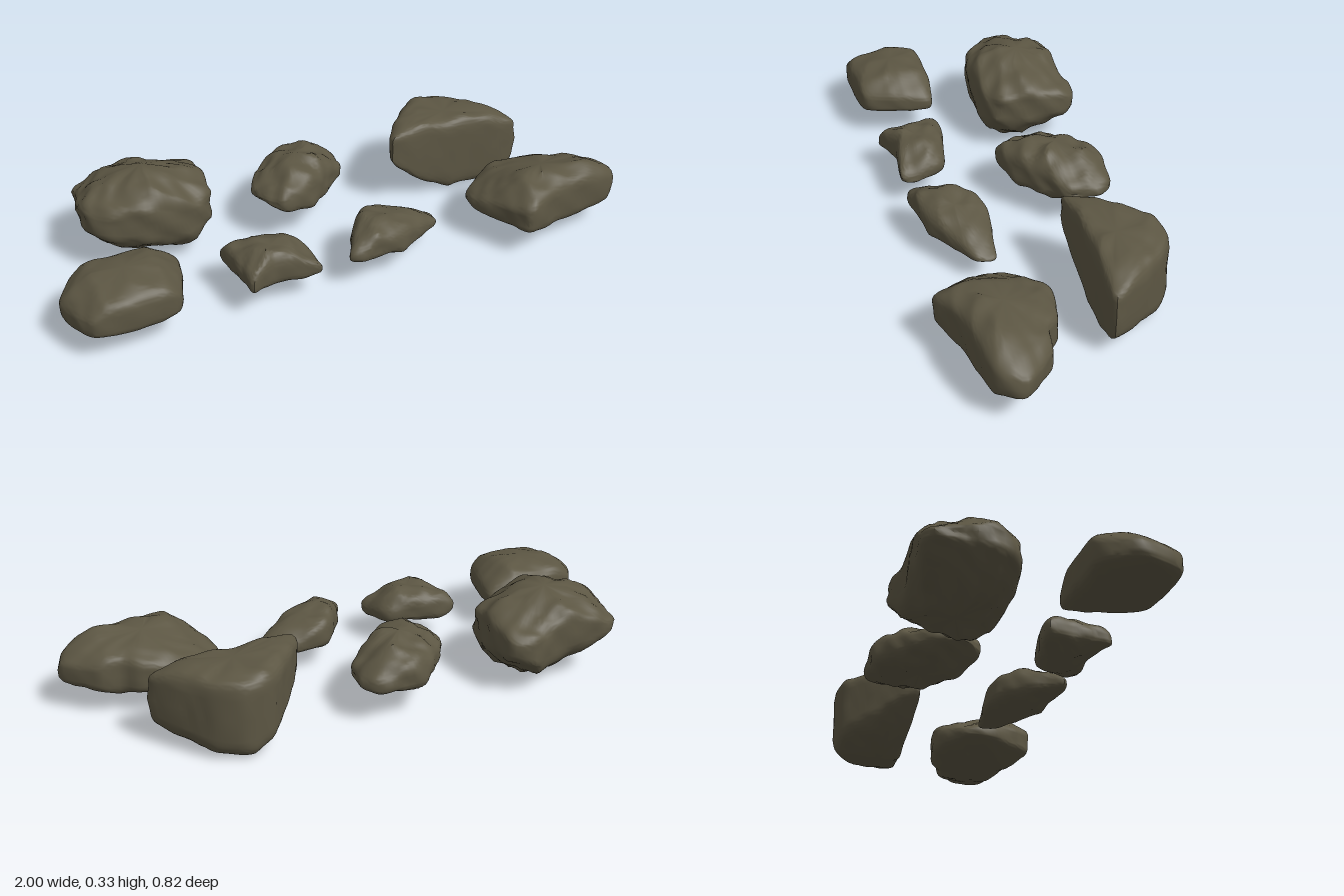
import * as THREE from 'three';
import { toCreasedNormals } from 'three/addons/utils/BufferGeometryUtils.js';

const stone = new THREE.MeshStandardMaterial({ color: 0x5c5643 });
stone.name = 'olive grey stone';

const AROUND = 80;
const RINGS = 30;

// Height at fraction f along evenly spaced values
function heightAt(values, f) {
  const k = THREE.MathUtils.clamp(f, 0, 1) * (values.length - 1);
  const i = Math.min(Math.floor(k), values.length - 2);
  return THREE.MathUtils.lerp(values[i], values[i + 1], k - i);
}

// Broken, ridged surface relief between about -1 and 1
function relief(x, y, z, seed) {
  const a = Math.sin(x * 23 + z * 17 + y * 12 + seed) * 0.4;
  const b = 0.5 - Math.abs(Math.sin(x * 19 - z * 24 + y * 27 + seed * 2.3));
  const c = Math.sin(x * 52 + Math.sin(z * 41 + seed)) * Math.sin(z * 47 + y * 60) * 0.45;
  return a + b * 0.7 + c;
}

// outline: plan corners, clockwise from above; hi, lo: top and bottom heights from -x to +x;
// round: 0 boxy to 1 oval; waist: height fraction of the widest ring;
// crest: z of the ridge and keel; slope, under: how fast top and bottom draw in away from it
function makeRock(name, { outline, hi, lo, round, waist, crest, slope, under, rough, seed }) {
  const corners = outline.map(([x, z]) => new THREE.Vector3(x, 0, z));
  const rim = new THREE.CatmullRomCurve3(corners, true, 'catmullrom', 0.3).getSpacedPoints(AROUND).slice(0, AROUND);
  const centre = rim.reduce((sum, p) => sum.add(p), new THREE.Vector3()).divideScalar(AROUND);
  const minX = Math.min(...rim.map((p) => p.x));
  const maxX = Math.max(...rim.map((p) => p.x));

  const positions = [];
  const index = [];
  for (let r = 0; r <= RINGS; r++) {
    const angle = Math.PI * (0.5 - r / RINGS);
    const s = r % RINGS === 0 ? 0 : Math.cos(angle) ** round;
    const h = Math.sign(Math.sin(angle)) * Math.abs(Math.sin(angle)) ** round;
    const t = waist + h * (h > 0 ? 1 - waist : waist);
    rim.forEach((p, i) => {
      const x = centre.x + (p.x - centre.x) * s;
      const z = centre.z + (p.z - centre.z) * s;
      const f = (x - minX) / (maxX - minX);
      const away = Math.abs(z - crest);
      const low = heightAt(lo, f) + away * under;
      const top = heightAt(hi, f) - away * slope;
      const y = low + (top - low) * t;
      const n = relief(x, y, z, seed) * rough;
      const push = n * 5 * (1 - Math.abs(h));
      positions.push(x + (p.x - centre.x) * push, Math.max(0, y + n * h), z + (p.z - centre.z) * push);

      if (r === RINGS) return;
      const a = r * AROUND + i, b = r * AROUND + (i + 1) % AROUND;
      const c = a + AROUND, d = b + AROUND;
      if (r > 0) index.push(a, b, c);
      if (r < RINGS - 1) index.push(b, d, c);
    });
  }

  const geometry = new THREE.BufferGeometry();
  geometry.setAttribute('position', new THREE.Float32BufferAttribute(positions, 3));
  geometry.setIndex(index);
  const mesh = new THREE.Mesh(toCreasedNormals(geometry, 0.8), stone);
  mesh.name = name;
  return mesh;
}

export function createModel() {
  const group = new THREE.Group();
  group.name = 'scatteredRocks';

  // Back row
  group.add(makeRock('backLeftBoulder', {
    outline: [[-0.78, -0.385], [-0.55, -0.38], [-0.44, -0.41], [-0.365, -0.36], [-0.38, -0.11], [-0.47, -0.06], [-0.64, -0.05], [-0.76, -0.08], [-0.825, -0.18]],
    hi: [0.26, 0.31, 0.34, 0.3, 0.28], lo: [0.13, 0.06, 0.03, 0.01, 0.08],
    round: 0.45, waist: 0.55, crest: -0.2, slope: 0.3, under: 0.3, rough: 0.012, seed: 0.6,
  }));
  group.add(makeRock('backMiddleRock', {
    outline: [[-0.22, -0.1], [-0.2, -0.2], [-0.12, -0.295], [-0.03, -0.36], [0.13, -0.34], [0.15, -0.2], [0.07, -0.13], [-0.03, -0.05], [-0.16, -0.015]],
    hi: [0.2, 0.25, 0.25, 0.19], lo: [0.14, 0.09, 0.08, 0.11],
    round: 0.6, waist: 0.4, crest: -0.17, slope: 0.1, under: 0.05, rough: 0.014, seed: 2.3,
  }));
  group.add(makeRock('backRightBoulder', {
    outline: [[0.3, -0.1], [0.34, -0.19], [0.48, -0.345], [0.59, -0.36], [0.68, -0.3], [0.8, -0.13], [0.79, -0.09], [0.48, -0.105]],
    hi: [0.29, 0.305, 0.3, 0.295, 0.27], lo: [0.17, 0.07, 0.01, 0.02, 0.07],
    round: 0.3, waist: 0.5, crest: -0.2, slope: 0.05, under: 0, rough: 0.007, seed: 4,
  }));

  // Front row
  group.add(makeRock('frontLeftSlab', {
    outline: [[-1, 0.2], [-0.91, 0.085], [-0.595, 0.105], [-0.65, 0.34], [-0.77, 0.36], [-0.94, 0.355]],
    hi: [0.17, 0.23, 0.24, 0.24, 0.18], lo: [0.085, 0.07, 0.1],
    round: 0.45, waist: 0.43, crest: 0.2, slope: 0.15, under: 0, rough: 0.005, seed: 5.7,
  }));
  group.add(makeRock('frontSmallRock', {
    outline: [[-0.44, 0.13], [-0.37, 0.12], [-0.2, 0.165], [-0.155, 0.27], [-0.17, 0.325], [-0.32, 0.31], [-0.42, 0.35], [-0.43, 0.24]],
    hi: [0.19, 0.21, 0.2, 0.15], lo: [0.09, 0.08, 0.085],
    round: 0.6, waist: 0.38, crest: 0.22, slope: 0.1, under: 0, rough: 0.012, seed: 7.4,
  }));
  group.add(makeRock('frontFlatRock', {
    outline: [[-0.06, 0.315], [0, 0.2], [0.07, 0.115], [0.16, 0.1], [0.325, 0.13], [0.315, 0.2], [0.22, 0.26], [0.14, 0.31], [-0.01, 0.335]],
    hi: [0.17, 0.215, 0.195, 0.16, 0.11], lo: [0.1, 0.075, 0.08],
    round: 0.6, waist: 0.38, crest: 0.22, slope: 0.1, under: 0, rough: 0.009, seed: 9.1,
  }));
  group.add(makeRock('frontRightBoulder', {
    outline: [[0.475, 0.13], [0.62, 0.04], [0.77, 0.07], [0.82, 0.115], [0.9, 0.13], [0.995, 0.24], [0.94, 0.325], [0.7, 0.365], [0.565, 0.405], [0.475, 0.23]],
    hi: [0.18, 0.255, 0.265, 0.26, 0.21], lo: [0.1, 0.065, 0.06, 0.09],
    round: 0.42, waist: 0.5, crest: 0.28, slope: 0.25, under: 0.05, rough: 0.007, seed: 10.8,
  }));
  return group;
}
